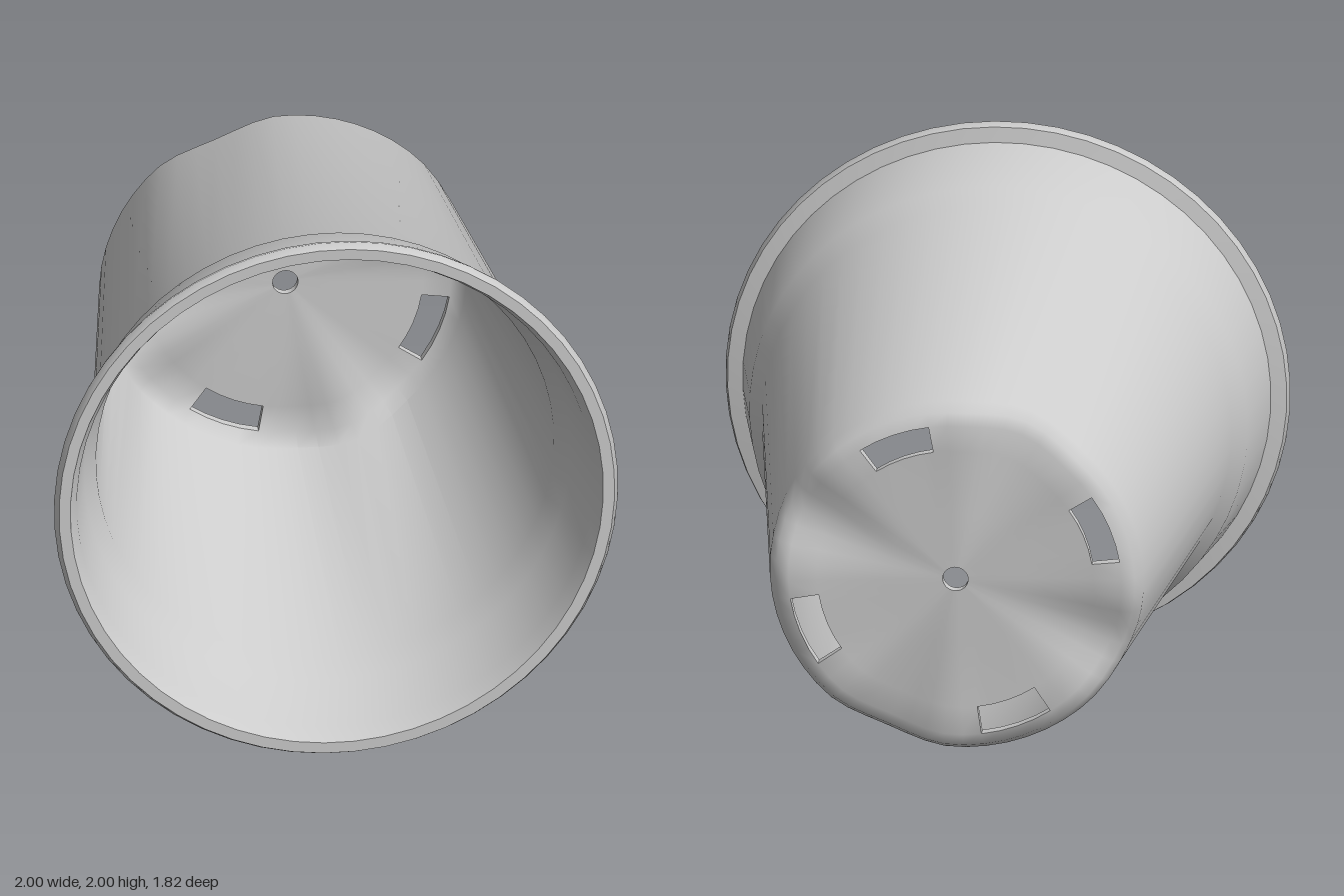
import * as THREE from 'three';
import { toCreasedNormals } from 'three/addons/utils/BufferGeometryUtils.js';

const SECTORS = 56;
const QUARTER = SECTORS / 4;
const START = THREE.MathUtils.degToRad(23); // angle of the first drainage groove

// Closed wall section as [radius, z]: outside floor, outer wall, rim, inner wall, inside floor
const PROFILE = [
  [0.045, -0.895], [0.25, -0.895], [0.49, -0.9], [0.59, -0.91], [0.635, -0.895], [0.662, -0.85],
  [0.832, 0.5], [0.882, 0.56], [0.935, 0.84],
  [0.99, 0.85], [1.0, 0.88], [0.985, 0.91], [0.945, 0.91],
  [0.915, 0.84], [0.862, 0.58], [0.812, 0.5],
  [0.638, -0.84], [0.59, -0.875], [0.49, -0.87], [0.25, -0.865], [0.045, -0.865],
];
const OUT_A = 2, OUT_B = 3, IN_B = 17, IN_A = 18; // rings bounding the slots

// Four slots, each four sectors long and midway between two grooves
const inSlot = (j) => {
  const k = ((j % QUARTER) + QUARTER) % QUARTER;
  return k >= 5 && k <= 8;
};

function potGeometry() {
  const positions = [];
  const index = [];
  const n = PROFILE.length;
  const id = (i, j) => (i % n) * SECTORS + ((j + SECTORS) % SECTORS);
  const quad = (a, b, c, d) => index.push(a, b, c, a, c, d);

  // Rings of vertices, with the floor lifted along four radial grooves
  for (const [r, z] of PROFILE) {
    for (let j = 0; j < SECTORS; j++) {
      const t = (j / SECTORS) * Math.PI * 2;
      const reach = z < -0.8 ? THREE.MathUtils.clamp((r - 0.2) / 0.4, 0, 1) : 0;
      const groove = 0.06 * reach * Math.max(0, Math.cos(4 * t)) ** 2;
      const lean = 0.015 * (0.9 - z) / 1.8;
      positions.push(r * Math.cos(t + START) + lean, r * Math.sin(t + START), z + groove);
    }
  }

  // Skin, leaving the slots open
  for (let i = 0; i < n; i++) {
    for (let j = 0; j < SECTORS; j++) {
      if ((i === OUT_A || i === IN_B) && inSlot(j)) continue;
      quad(id(i, j), id(i, j + 1), id(i + 1, j + 1), id(i + 1, j));
    }
  }

  // Walls through the floor around each slot
  for (let j = 0; j < SECTORS; j++) {
    if (!inSlot(j)) continue;
    const e = j + 1;
    quad(id(OUT_A, j), id(OUT_A, e), id(IN_A, e), id(IN_A, j));
    quad(id(OUT_B, e), id(OUT_B, j), id(IN_B, j), id(IN_B, e));
    if (!inSlot(j - 1)) quad(id(OUT_A, j), id(IN_A, j), id(IN_B, j), id(OUT_B, j));
    if (!inSlot(e)) quad(id(OUT_A, e), id(OUT_B, e), id(IN_B, e), id(IN_A, e));
  }

  const geometry = new THREE.BufferGeometry();
  geometry.setAttribute('position', new THREE.Float32BufferAttribute(positions, 3));
  geometry.setIndex(index);
  return toCreasedNormals(geometry, 0.85);
}

export function createModel() {
  const group = new THREE.Group();
  group.name = 'plantPot';
  const pot = new THREE.Mesh(potGeometry(), new THREE.MeshStandardMaterial({ color: 0xcccccc }));
  pot.name = 'potBody';
  pot.position.y = 1; // lying on its side, mouth to the front
  group.add(pot);
  return group;
}
